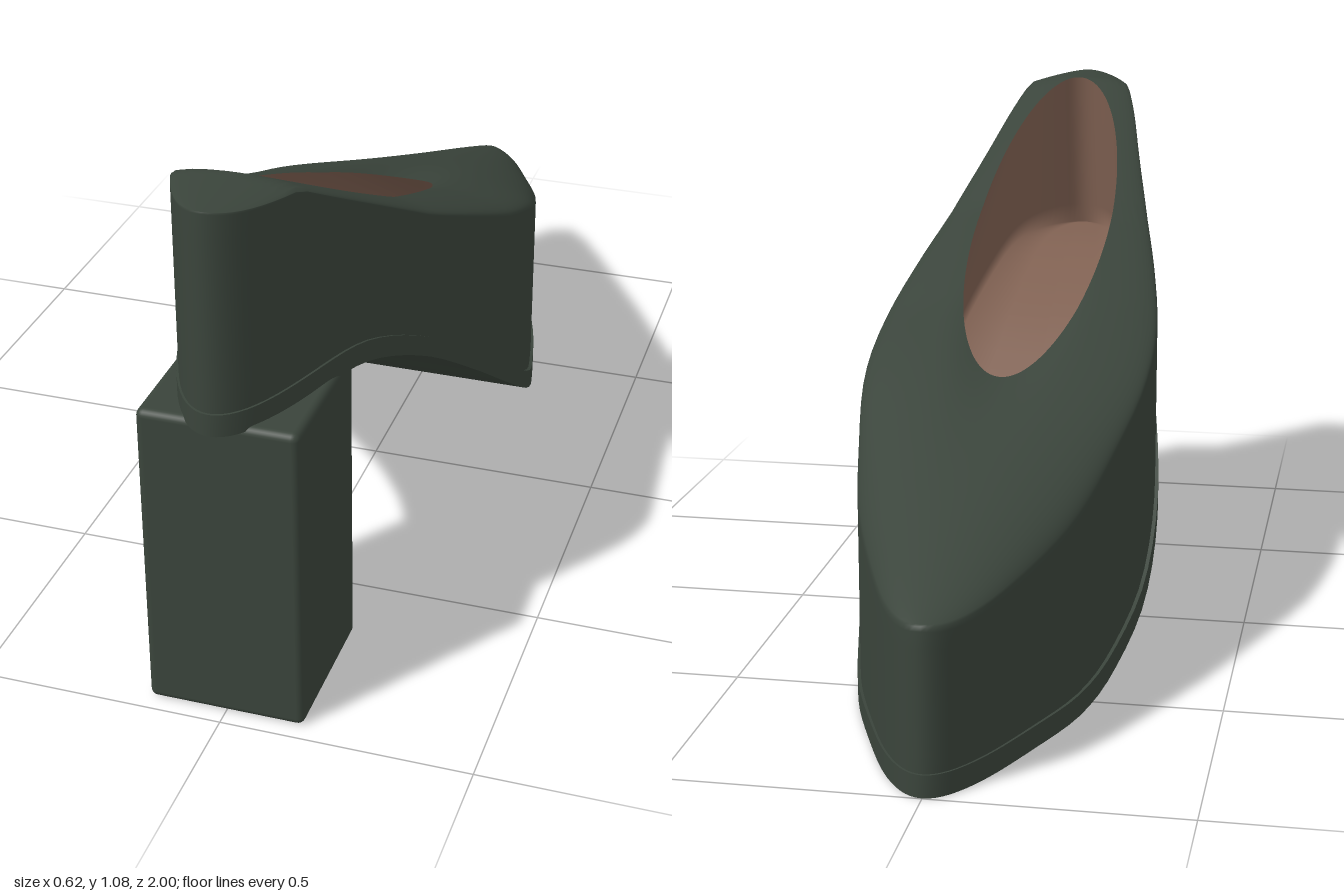
import * as THREE from 'three';
import { toCreasedNormals } from 'three/addons/utils/BufferGeometryUtils.js';
import { RoundedBoxGeometry } from 'three/addons/geometries/RoundedBoxGeometry.js';

const AROUND = 112;
const { lerp, smoothstep } = THREE.MathUtils;

// Interpolates [z, value] pairs (ascending z), smoothly or in straight pieces
function profile(points, smooth = true) {
  const slope = (i) => {
    const a = points[Math.max(i - 1, 0)], b = points[Math.min(i + 1, points.length - 1)];
    return (b[1] - a[1]) / (b[0] - a[0]);
  };
  return (z) => {
    let i = 0;
    while (i < points.length - 2 && z > points[i + 1][0]) i++;
    const [z0, v0] = points[i], [z1, v1] = points[i + 1];
    const h = z1 - z0, t = Math.min(1, Math.max(0, (z - z0) / h));
    if (!smooth) return lerp(v0, v1, t);
    const t2 = t * t, t3 = t2 * t;
    return v0 * (2 * t3 - 3 * t2 + 1) + v1 * (3 * t2 - 2 * t3)
      + h * (slope(i) * (t3 - 2 * t2 + t) + slope(i + 1) * (t3 - t2));
  };
}

// Plan fullness, underside height and ridge height along the shoe (toe at -z)
const fullness = profile([[-1, 0.2], [-0.9, 0.218], [-0.8, 0.233], [-0.6, 0.269], [-0.4, 0.288],
  [-0.2, 0.307], [0, 0.303], [0.2, 0.278], [0.4, 0.249], [0.6, 0.228], [0.8, 0.225], [1, 0.22]]);
const underside = profile([[-1, 0], [-0.75, 0], [-0.55, 0.002], [-0.4, 0.027], [-0.2, 0.108], [0, 0.235],
  [0.2, 0.378], [0.4, 0.512], [0.6, 0.608], [0.75, 0.64], [1, 0.64]]);
const ridge = profile([[-1, 0.325], [0, 0.695], [0.37, 0.85], [0.83, 1.083], [1, 1.083]], false);

const SOLE = 0.045;
const halfWidth = (z) => fullness(z) * Math.sqrt(Math.max(0, 1 - z * z));
const crownDrop = (z) => halfWidth(z) * (0.17 + 0.25 * smoothstep(-z, 0.1, 0.8));

function outline(a, scale = 1) {
  const z = Math.cos(a);
  return { x: Math.sign(Math.sin(a)) * halfWidth(z) * scale, z: z * (scale < 1 ? 0.995 : 1) };
}
const opening = (a) => ({ x: 0.152 * Math.sin(a), z: 0.305 + 0.525 * Math.cos(a) });
const mix = (p, q, t) => ({ x: lerp(p.x, q.x, t), z: lerp(p.z, q.z, t) });

// Height of the arched top at a plan position
function crownHeight(p) {
  const w = halfWidth(p.z) * 0.985;
  const q = w > 1e-5 ? Math.min(1, Math.abs(p.x) / w) : 0;
  return ridge(p.z) - crownDrop(p.z) * (1 - Math.sqrt(1 - q * q));
}

// Closed loft: each row maps an angle to [x, y, z]
function loft(rows) {
  const positions = [], index = [];
  rows.forEach((row, j) => {
    for (let i = 0; i < AROUND; i++) {
      positions.push(...row((i / AROUND) * Math.PI * 2));
      if (j === rows.length - 1) continue;
      const a = j * AROUND + i, b = j * AROUND + (i + 1) % AROUND;
      index.push(a, b, b + AROUND, a, b + AROUND, a + AROUND);
    }
  });
  const geometry = new THREE.BufferGeometry();
  geometry.setAttribute('position', new THREE.Float32BufferAttribute(positions, 3));
  geometry.setIndex(index);
  geometry.computeVertexNormals();
  return geometry;
}

function openingHeight(a) {
  return crownHeight(opening(a)) - 0.025 * Math.max(0, -Math.cos(a)) ** 3;
}

function upperGeometry() {
  const rows = [], wallRows = 8, crownRows = 20;
  // Upright side wall
  for (let j = 0; j < wallRows; j++) {
    rows.push((a) => {
      const p = outline(a, 0.985);
      return [p.x, lerp(underside(p.z) + SOLE, ridge(p.z) - crownDrop(p.z), j / wallRows), p.z];
    });
  }
  // Arched top running in to the foot opening, with a slight dip at its front
  for (let j = 0; j <= crownRows; j++) {
    const u = (j / crownRows) ** 2;
    rows.push((a) => {
      const p = mix(outline(a, 0.985), opening(a), u);
      const dip = 0.025 * u ** 6 * Math.max(0, -Math.cos(a)) ** 3;
      const rim = ridge(p.z) - crownDrop(p.z);
      return [p.x, (j === 0 ? rim : crownHeight(p)) - dip, p.z];
    });
  }
  return loft(rows);
}

function liningGeometry() {
  const rows = [];
  const inner = (a) => {
    const p = outline(a);
    return { x: p.x * 0.86, z: p.z * 0.92 };
  };
  const floor = (z) => underside(z) + SOLE + 0.02;
  // Inner walls
  for (let j = 0; j <= 8; j++) {
    const t = j / 8;
    rows.push((a) => {
      const p = mix(opening(a), inner(a), t);
      return [p.x, lerp(openingHeight(a), floor(p.z), t), p.z];
    });
  }
  // Insole
  for (const s of [0.5, 0]) {
    rows.push((a) => {
      const p = inner(a);
      return [p.x * s, floor(p.z), p.z];
    });
  }
  return loft(rows);
}

function soleGeometry() {
  const ring = (width, lift) => (a) => {
    const p = outline(a, 1.01);
    return [p.x * width, underside(p.z) + lift, p.z];
  };
  const geometry = loft([ring(0, 0), ring(1, 0), ring(1, SOLE), ring(0, SOLE)]);
  return toCreasedNormals(geometry, 0.7);
}

export function createModel() {
  const leather = new THREE.MeshStandardMaterial({ color: 0x3a443b });
  leather.name = 'dark green leather';
  const tan = new THREE.MeshStandardMaterial({ color: 0x806152 });
  tan.name = 'tan lining';

  const shoe = new THREE.Group();
  shoe.name = 'shoe';
  const add = (name, geometry, material) => {
    const mesh = new THREE.Mesh(geometry, material);
    mesh.name = name;
    shoe.add(mesh);
    return mesh;
  };

  add('upper', upperGeometry(), leather);
  add('lining', liningGeometry(), tan);
  add('sole', soleGeometry(), leather);

  // Block heel
  const heel = add('heel', new RoundedBoxGeometry(0.314, 0.648, 0.32, 3, 0.015), leather);
  heel.position.set(0, 0.324, 0.808);
  return shoe;
}
